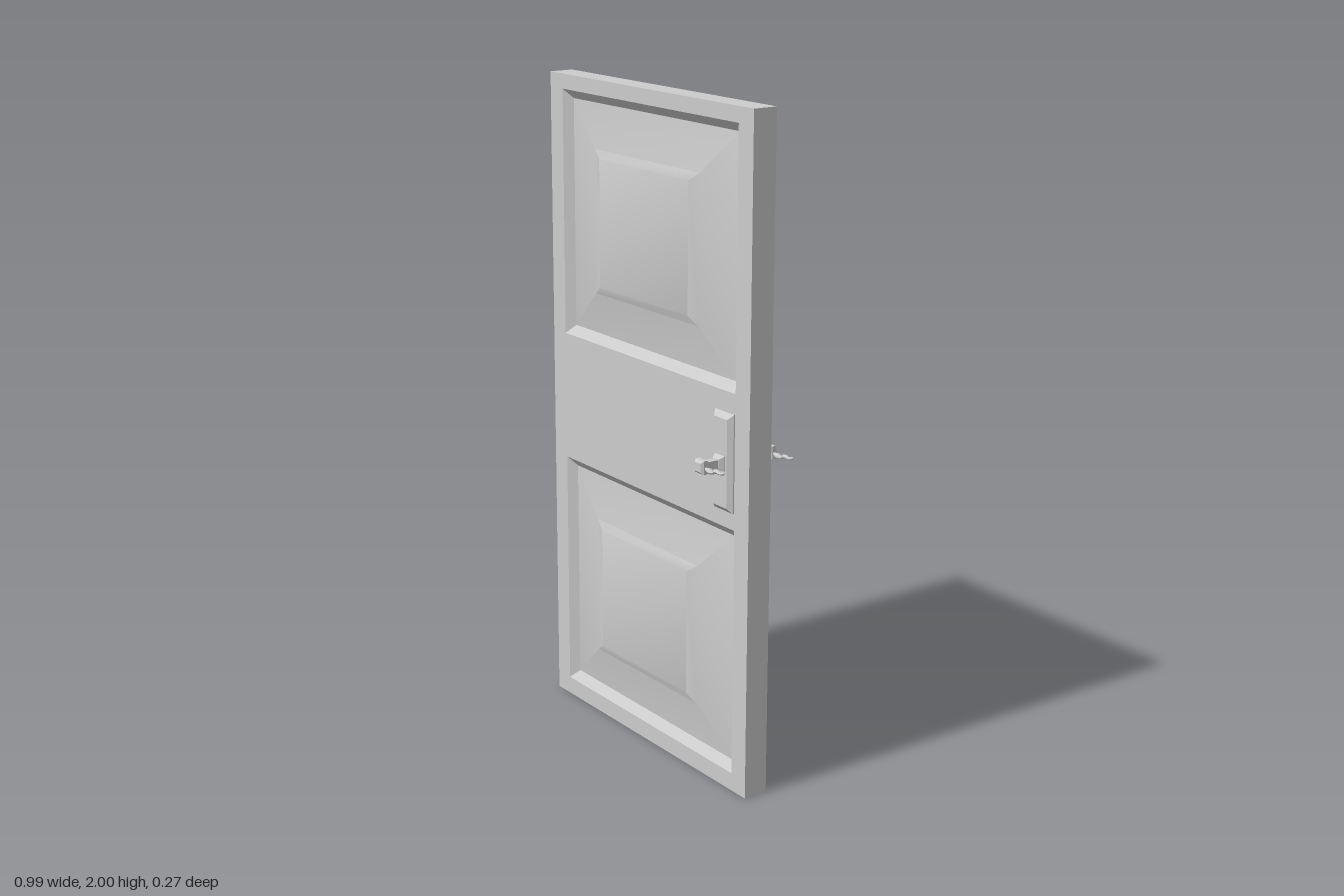
import * as THREE from 'three';
import { toCreasedNormals } from 'three/addons/utils/BufferGeometryUtils.js';

const material = new THREE.MeshStandardMaterial({ color: 0xcccccc });
const W = 0.495, H = 1, D = 0.0385; // half sizes of the door slab
const PANEL = { w: 0.43, h: 0.375, ys: [0.43, 1.58] };
const HANDLE_X = 0.385;

// Skin over a stack of centred rectangles [halfWidth, halfHeight, z], optionally capped at the last one
function rectLoft(rings, cap = true, crease = 0.1) {
  const corners = rings.map(([w, h, z]) => [[-w, -h, z], [w, -h, z], [w, h, z], [-w, h, z]]);
  const pos = [];
  const quad = (a, b, c, d) => pos.push(...a, ...b, ...c, ...a, ...c, ...d);
  for (let r = 0; r < rings.length - 1; r++) {
    for (let i = 0; i < 4; i++) {
      const j = (i + 1) % 4;
      quad(corners[r][i], corners[r][j], corners[r + 1][j], corners[r + 1][i]);
    }
  }
  if (cap) quad(...corners[rings.length - 1]);
  const geo = new THREE.BufferGeometry();
  geo.setAttribute('position', new THREE.Float32BufferAttribute(pos, 3));
  return toCreasedNormals(geo, crease);
}

function rectPath(PathType, w, h, y) {
  const path = new PathType();
  path.moveTo(-w, y - h);
  path.lineTo(w, y - h);
  path.lineTo(w, y + h);
  path.lineTo(-w, y + h);
  path.closePath();
  return path;
}

function addMesh(parent, name, geo, x = 0, y = 0, z = 0) {
  const mesh = new THREE.Mesh(geo, material);
  mesh.name = name;
  mesh.position.set(x, y, z);
  parent.add(mesh);
  return mesh;
}

// Wavy lever with a swelling grip; dir is the side it points to
function leverGeometry(dir) {
  const curve = new THREE.CatmullRomCurve3([
    [0.012, 0], [0.035, -0.004], [0.052, -0.006], [0.07, 0.003], [0.087, 0.0], [0.106, 0.007],
  ].map(([x, y]) => new THREE.Vector3(dir * x, y, 0)));
  const radii = [0.004, 0.004, 0.008, 0.0105, 0.009, 0.005, 0.006, 0.008, 0.007, 0.0055, 0.005, 0.006, 0.001];
  const steps = radii.length - 1, sides = 8;
  const geo = new THREE.TubeGeometry(curve, steps, 1, sides, false);
  const pos = geo.attributes.position, v = new THREE.Vector3();
  for (let i = 0; i < pos.count; i++) {
    const ring = Math.floor(i / (sides + 1));
    const centre = curve.getPointAt(ring / steps);
    v.fromBufferAttribute(pos, i).sub(centre).multiplyScalar(radii[ring]);
    v.y *= 0.75;
    v.add(centre);
    pos.setXYZ(i, v.x, v.y, v.z);
  }
  geo.computeVertexNormals();
  return geo;
}

function createHandle(dir) {
  const handle = new THREE.Group();
  handle.name = 'handle';
  addMesh(handle, 'backPlate', rectLoft([
    [0.043, 0.145, D], [0.043, 0.145, 0.042], [0.03, 0.13, 0.056],
  ]));
  addMesh(handle, 'collar', rectLoft([
    [0.022, 0.022, 0.055], [0.022, 0.022, 0.058], [0.013, 0.013, 0.072],
  ]));
  addMesh(handle, 'stem', rectLoft([[0.012, 0.012, 0.07], [0.012, 0.012, 0.109]], false));
  addMesh(handle, 'knob', rectLoft([
    [0, 0, 0.107], [0.012, 0.012, 0.107], [0.02, 0.02, 0.115],
    [0.02, 0.02, 0.127], [0.013, 0.013, 0.135],
  ]));
  addMesh(handle, 'lever', leverGeometry(dir), 0, 0, 0.121);
  handle.position.set(dir * HANDLE_X, 1, 0);
  return handle;
}

// One face of the door: frame, two sunken panels with raised fields, and the handle
function createSide(name, dir) {
  const side = new THREE.Group();
  side.name = name;

  const frame = rectPath(THREE.Shape, W, H, 1);
  frame.holes = PANEL.ys.map((y) => rectPath(THREE.Path, PANEL.w, PANEL.h, y));
  addMesh(side, 'frame', new THREE.ShapeGeometry(frame), 0, 0, D);

  PANEL.ys.forEach((y, i) => {
    addMesh(side, i ? 'upperPanel' : 'lowerPanel', rectLoft([
      [PANEL.w, PANEL.h, D], [0.405, 0.348, 0.015],
      [0.258, 0.217, 0.0395], [0.22, 0.192, 0.05],
    ], true, 0.4), 0, y, 0);
  });

  side.add(createHandle(dir));
  return side;
}

export function createModel() {
  const door = new THREE.Group();
  door.name = 'door';

  // Outer edges joining the two faces
  addMesh(door, 'doorEdges', rectLoft([[W, H, -D], [W, H, D]], false), 0, 1, 0);

  door.add(createSide('frontSide', 1));
  const back = createSide('backSide', -1);
  back.rotation.y = Math.PI;
  door.add(back);
  return door;
}
